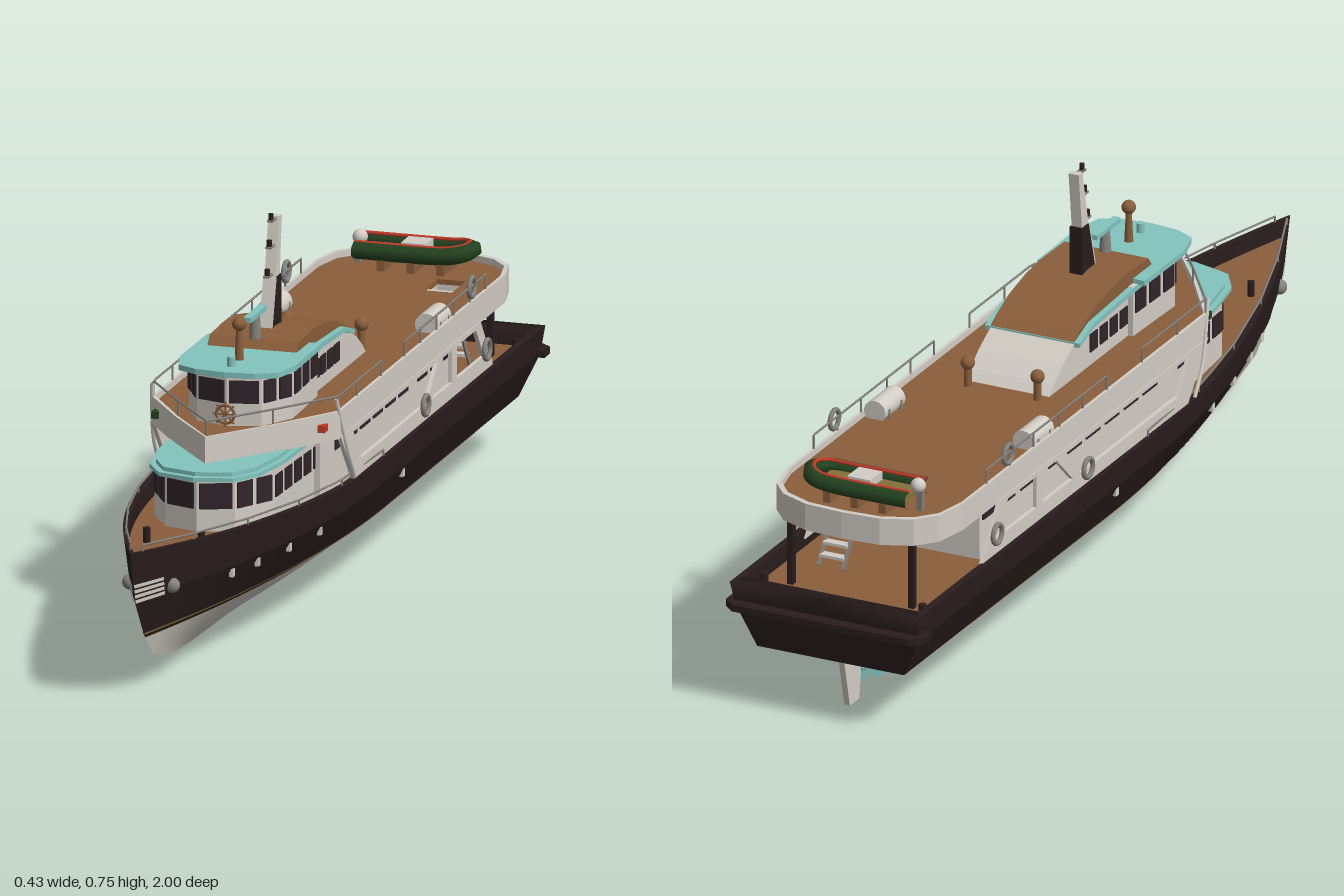
import * as THREE from 'three';

const mat = (name, color, double) => {
  const m = new THREE.MeshStandardMaterial({ color });
  m.name = name;
  if (double) m.side = THREE.DoubleSide;
  return m;
};

export function createModel() {
  const root = new THREE.Group();
  const dark = mat('dark hull paint', 0x2a1d1d, true), white = mat('off white paint', 0xd2cdc5, true);
  const brown = mat('wood deck', 0x8a5e3b, true), teal = mat('teal roof', 0x82c4be);
  const glass = mat('dark glass', 0x30252a), steel = mat('grey steel', 0x85817c);
  const gold = mat('ochre waterline', 0x86703a, true), green = mat('green rubber', 0x23421f), red = mat('red', 0xc23a28);

  const add = (name, geo, m, x = 0, y = 0, z = 0) => {
    const mesh = new THREE.Mesh(geo, m);
    mesh.name = name;
    mesh.position.set(x, y, z);
    root.add(mesh);
    return mesh;
  };
  const box = (name, m, w, h, d, x, y, z) => add(name, new THREE.BoxGeometry(w, h, d), m, x, y, z);
  const cyl = (name, m, r0, r1, h, x, y, z, n = 14) => add(name, new THREE.CylinderGeometry(r0, r1, h, n), m, x, y, z);
  const ball = (name, m, r, x, y, z) => add(name, new THREE.SphereGeometry(r, 16, 12), m, x, y, z);
  const tube = (name, m, pts, r, tension = 0.5, n = 60) => add(name, new THREE.TubeGeometry(
    new THREE.CatmullRomCurve3(pts.map(p => new THREE.Vector3(...p)), false, 'catmullrom', tension), n, r, 6), m);

  // Half outline [x, z] mirrored into a plan shape, extruded upwards
  const plan = half => new THREE.Shape([...half, ...half.filter(p => p[0] > 0).reverse().map(([x, z]) => [-x, z])]
    .map(([x, z]) => new THREE.Vector2(x, -z)));
  const slab = (name, m, shape, y0, y1) => add(name, new THREE.ExtrudeGeometry(shape, { depth: y1 - y0, bevelEnabled: false })
    .rotateX(-Math.PI / 2), m, 0, y0, 0);
  // Side profile of [z, y] extruded across x, from x - w to x
  const poly = pts => pts.map(p => new THREE.Vector2(...p));
  const profile = (name, m, pts, w, x, holes = []) => {
    const s = new THREE.Shape(poly(pts));
    s.holes = holes.map(h => new THREE.Path(poly(h)));
    return add(name, new THREE.ExtrudeGeometry(s, { depth: w, bevelEnabled: false }).rotateY(-Math.PI / 2), m, x);
  };
  // Panes along a wall segment, on both sides
  const panes = (name, [x0, z0], [x1, z1], n, y0, y1, gap = 0.008) => {
    const len = Math.hypot(x1 - x0, z1 - z0);
    for (const s of [1, -1]) for (let i = 0; i < n; i++) {
      const t = (i + 0.5) / n;
      box(name, glass, len / n - gap, y1 - y0, 0.006, s * (x0 + (x1 - x0) * t), (y0 + y1) / 2, z0 + (z1 - z0) * t)
        .rotation.y = Math.atan2(-(z1 - z0), s * (x1 - x0));
    }
  };

  // Hull: each level runs from stern to its own point on the stem
  const level = (zs, zb, W, z0, p, yf) => u => {
    const z = zs + (zb - zs) * u, s = Math.max(0, (z - z0) / (zb - z0));
    return [W * (1 - s ** p), yf(z), z];
  };
  // Underwater levels also close in towards the stern
  const taper = f => u => {
    const [x, y, z] = f(u);
    return [x * (1 - THREE.MathUtils.clamp((-z - 0.25) / 0.65, 0, 1) ** 2.6), y, z];
  };
  const rise = y => z => y + (0.12 - y) * THREE.MathUtils.smoothstep(-z, 0.55, 0.93);
  const sheerY = z => 0.257 + 0.046 * Math.max(0, (z - 0.2) / 0.8) ** 1.3;
  const keel = level(-0.95, 0.74, 0.0, 0, 2, z => rise(0.02)(z) + 0.015 * Math.max(0, z / 0.74) ** 2);
  const bilge = taper(level(-0.95, 0.85, 0.09, -0.2, 1.8, rise(0.066)));
  const paint = taper(level(-0.95, 0.9, 0.146, -0.1, 1.9, rise(0.112)));
  const water = level(-0.955, 0.91, 0.158, -0.1, 1.9, () => 0.12);
  const knuckle = level(-0.97, 0.97, 0.197, 0, 2.1, () => 0.205);
  const sheer = level(-0.985, 0.995, 0.202, 0, 2.2, sheerY);
  const capIn = level(-0.95, 0.975, 0.187, 0, 2.2, sheerY);
  const deckEdge = level(-0.95, 0.975, 0.187, 0, 2.2, z => sheerY(z) - 0.035);
  const middle = f => u => [0, f(u)[1], f(u)[2]];
  const mix = (a, b, v, out = 0) => u => a(u).map((c, i) => c + (b(u)[i] - c) * v + (i ? 0 : out));
  const loft = (name, m, levels, u0 = 0, u1 = 1, n = 48) => {
    for (const s of [1, -1]) {
      const pos = [], idx = [], k = levels.length;
      for (let i = 0; i <= n; i++) for (const f of levels) {
        const [x, y, z] = f(u0 + (u1 - u0) * i / n);
        pos.push(s * x, y, z);
      }
      for (let i = 0; i < n; i++) for (let j = 0; j < k - 1; j++) {
        const a = i * k + j, b = a + 1, c = a + k, d = c + 1;
        idx.push(...(s > 0 ? [a, b, c, b, d, c] : [a, c, b, b, c, d]));
      }
      const g = new THREE.BufferGeometry();
      g.setAttribute('position', new THREE.Float32BufferAttribute(pos, 3));
      g.setIndex(idx);
      g.computeVertexNormals();
      add(name, g, m);
    }
  };
  const paintTop = mix(paint, water, 0.14);
  loft('hullBottom', white, [keel, bilge, paint], 0.03);
  loft('waterlineStripe', gold, [paint, paintTop], 0.03);
  loft('hullCounter', dark, [paintTop, water], 0.03);
  loft('sternCounter', dark, [keel, water], 0, 0.03, 2);
  loft('chineStripe', gold, [mix(water, knuckle, 0, 0.001), mix(water, knuckle, 0.05, 0.0015)], 0.15);
  loft('hullSide', dark, [water, knuckle]);
  loft('hullTopside', dark, [knuckle, sheer]);
  loft('bulwarkCap', dark, [sheer, capIn]);
  loft('bulwarkInside', dark, [capIn, deckEdge]);
  loft('mainDeck', brown, [deckEdge, middle(deckEdge)]);
  const across = f => u => [f(0)[0] * u, f(0)[1], f(0)[2]];
  loft('transom', dark, [water, knuckle, sheer, capIn, deckEdge].map(across), 0, 1, 2);
  slab('sternFender', dark, plan([[0.19, -1], [0.213, -0.98], [0.213, -0.945]]), 0.203, 0.217);
  for (const v of [-0.08, 0.03, 0.14, 0.25])
    loft('bowStripe', white, [mix(knuckle, sheer, v, 0.002), mix(knuckle, sheer, v + 0.075, 0.002)], 0.958, 1, 6);
  for (const s of [1, -1]) {
    for (const z of [0.67, 0.58, 0.46, 0.33, -0.12]) {
      const p = mix(water, knuckle, 0.82)((z + 0.965) / 1.935);
      box('porthole', white, 0.008, 0.016, 0.012, s * p[0], p[1], z);
    }
    const a = mix(knuckle, sheer, 0.06)(0.945);
    ball('anchor', steel, 0.015, s * a[0], a[1], a[2]);
    cyl('bowBollard', dark, 0.007, 0.007, 0.03, s * 0.055, 0.265, 0.72);
    cyl('sternBollard', dark, 0.008, 0.008, 0.03, s * 0.17, 0.235, -0.9);
  }

  // Skeg, rudder and propeller
  profile('skeg', white, [[-0.2, 0.03], [-0.66, 0.018], [-0.71, 0.03], [-0.66, 0.09], [-0.3, 0.08]], 0.024, 0.012);
  profile('rudder', white, [[-0.83, 0.115], [-0.845, 0.0], [-0.885, 0.0], [-0.915, 0.125]], 0.012, 0.006);
  cyl('propellerShaft', steel, 0.008, 0.008, 0.13, 0, 0.055, -0.74).rotation.x = Math.PI / 2;
  cyl('propellerHub', teal, 0.006, 0.011, 0.035, 0, 0.055, -0.81).rotation.x = -Math.PI / 2;
  for (let i = 0; i < 4; i++) {
    const a = i * Math.PI / 2 + 0.4;
    const blade = box('propellerBlade', teal, 0.022, 0.032, 0.004, -Math.sin(a) * 0.02, 0.055 + Math.cos(a) * 0.02, -0.805);
    blade.rotation.set(0, 0.5, a);
  }

  // Lower deckhouse with its faceted front and stepped teal roof
  slab('mainHouse', white, plan([[0.14, -0.6], [0.14, 0.24]]), 0.215, 0.365);
  panes('mainHouseWindow', [0.14, 0.16], [0.14, -0.32], 6, 0.3, 0.35, 0.022);
  panes('aftHouseWindow', [0.14, -0.36], [0.14, -0.6], 3, 0.3, 0.35, 0.024);
  const front = [[0.13, 0.2], [0.12, 0.47], [0.07, 0.555], [0, 0.58]];
  slab('frontHouse', white, plan(front), 0.22, 0.348);
  panes('frontHouseWindow', front[0], front[1], 5, 0.287, 0.33, 0.016);
  panes('frontHouseWindow', front[1], front[2], 2, 0.284, 0.335, 0.011);
  panes('frontHouseWindow', front[2], front[3], 1, 0.284, 0.335, 0.011);
  const eaves = [[0.132, 0.2], [0.127, 0.43], [0.11, 0.53], [0.075, 0.583], [0, 0.602]];
  slab('frontHouseRoof', teal, plan(eaves), 0.344, 0.352);
  slab('frontHouseRoofCrown', teal, plan(eaves.map(([x, z]) => [x * 0.92, z * 0.98])), 0.352, 0.36);

  // Upper deck with a pointed front and rounded stern
  const rim = [[0, -0.91], [0.08, -0.905], [0.14, -0.88], [0.175, -0.84], [0.19, -0.77], [0.19, 0.27], [0.1, 0.4], [0, 0.525]];
  const inner = rim.map(([x, z]) => [x * 0.965, z * 0.988]);
  const ring = plan(rim), floor = plan(inner);
  ring.holes = [plan(inner)];
  floor.holes = [new THREE.Path(poly([[0.062, 0.66], [0.118, 0.66], [0.118, 0.745], [0.062, 0.745]]))];
  slab('upperBulwark', white, ring, 0.358, 0.413);
  slab('upperDeckUnderside', white, floor, 0.362, 0.39);
  slab('upperDeck', brown, floor, 0.39, 0.4);
  for (let i = 0; i < 8; i++) box('stairTread', white, 0.052, 0.006, 0.018, 0.09, 0.395 - i * 0.021, -0.668 - i * 0.014);
  for (const s of [1, -1]) box('stairStringer', steel, 0.004, 0.012, 0.2, 0.09 + s * 0.026, 0.31, -0.72).rotation.x = -0.96;

  // Side screens with three slanted openings
  const holes = [
    [[0.19, 0.352], [0.14, 0.287], [-0.27, 0.287], [-0.34, 0.352]],
    [[-0.375, 0.352], [-0.305, 0.287], [-0.43, 0.287], [-0.43, 0.352]],
    [[-0.46, 0.352], [-0.46, 0.287], [-0.63, 0.287], [-0.58, 0.352]]];
  for (const s of [1, -1]) {
    profile('sideScreen', white, [[0.27, 0.362], [0.17, 0.24], [-0.7, 0.24], [-0.61, 0.362]], 0.008, s > 0 ? 0.192 : -0.184, holes);
    tube('forwardStay', white, [[s * 0.198, 0.265, 0.2], [s * 0.196, 0.33, 0.24], [s * 0.186, 0.44, 0.28]], 0.004);
    box('sternPost', dark, 0.012, 0.15, 0.014, s * 0.13, 0.29, -0.865);
    for (const [x, y, z] of [[0.197, 0.29, -0.25], [0.197, 0.3, -0.635], [0.187, 0.44, -0.57]])
      add('lifebuoy', new THREE.TorusGeometry(0.019, 0.005, 8, 20), steel, s * x, y, z).rotation.y = Math.PI / 2;
    // Raft canisters, vents and running lights
    cyl('raftCanister', white, 0.023, 0.023, 0.085, s * 0.16, 0.415, -0.41, 18).rotation.x = Math.PI / 2;
    for (const d of [-0.025, 0.025]) box('raftCradle', steel, 0.048, 0.02, 0.006, s * 0.16, 0.409, -0.41 + d);
    cyl('ventPipe', brown, 0.008, 0.008, 0.05, s * 0.075, 0.42, -0.225);
    ball('ventHead', brown, 0.014, s * 0.075, 0.448, -0.225);
    box('runningLight', s > 0 ? red : green, 0.014, 0.014, 0.022, s * 0.168, 0.388, 0.308);

    // Guard rails
    const rail = (pts, h, name) => {
      tube(name, steel, pts, 0.0022, 0.01, 40);
      for (const [x, y, z] of pts) cyl('railPost', steel, 0.002, 0.002, h, x, y - h / 2, z, 6);
    };
    rail([[0, 0.442, 0.515], [s * 0.095, 0.442, 0.395], [s * 0.186, 0.442, 0.268], [s * 0.186, 0.442, 0.15], [s * 0.186, 0.442, 0]], 0.035, 'forwardRail');
    rail([-0.15, -0.25, -0.35, -0.46, -0.56, -0.66].map(z => [s * 0.186, 0.442, z]), 0.035, 'sideRail');
    rail([0.5, 0.62, 0.72, 0.82, 0.91, 0.985].map(u => {
      const p = mix(sheer, capIn, 0.5)(u);
      return [s * p[0], p[1] + 0.012, p[2]];
    }), 0.016, 'bowRail');
  }

  // Bridge and the cabin behind it
  const bridge = [[0.1, 0.13], [0.105, 0.3], [0.065, 0.372], [0, 0.39]];
  slab('bridge', white, plan(bridge), 0.4, 0.502);
  panes('bridgeWindow', bridge[0], bridge[1], 3, 0.446, 0.49, 0.016);
  panes('bridgeWindow', bridge[1], bridge[2], 2, 0.445, 0.49, 0.01);
  panes('bridgeWindow', bridge[2], bridge[3], 1, 0.445, 0.49, 0.01);
  slab('bridgeRoof', teal, plan([[0.115, 0.15], [0.116, 0.32], [0.1, 0.38], [0.06, 0.4], [0, 0.407]]), 0.5, 0.511);
  profile('cabin', white, [[0.18, 0.395], [0.18, 0.495], [-0.05, 0.488], [-0.1, 0.47], [-0.15, 0.443], [-0.185, 0.418], [-0.21, 0.395]], 0.18, 0.09);
  panes('cabinWindow', [0.09, 0.13], [0.09, -0.04], 4, 0.428, 0.465, 0.012);
  profile('cabinRoofTrim', teal, [[0.17, 0.492], [0.17, 0.503], [-0.04, 0.493], [-0.1, 0.473], [-0.1, 0.464], [-0.04, 0.483]], 0.204, 0.102);
  profile('cabinRoof', brown, [[0.235, 0.505], [0.215, 0.529], [0.12, 0.531], [0.05, 0.525], [-0.02, 0.51], [-0.07, 0.49], [-0.1, 0.474], [-0.04, 0.485], [0.16, 0.495]], 0.18, 0.09);
  // Ornamental wheel on the bridge front
  add('wheelRim', new THREE.TorusGeometry(0.018, 0.003, 8, 20), brown, 0, 0.425, 0.398);
  for (let i = 0; i < 4; i++) box('wheelSpoke', brown, 0.05, 0.003, 0.003, 0, 0.425, 0.398).rotation.z = i * Math.PI / 4;

  // Raked mast with a pale front, radar and searchlight
  profile('mastBase', dark, [[0.142, 0.525], [0.115, 0.625], [0.085, 0.625], [0.085, 0.525]], 0.026, 0.013);
  profile('mastFront', white, [[0.146, 0.525], [0.119, 0.625], [0.115, 0.625], [0.142, 0.525]], 0.026, 0.013);
  profile('mast', white, [[0.118, 0.62], [0.092, 0.74], [0.076, 0.74], [0.09, 0.62]], 0.022, 0.011);
  for (const [y, z] of [[0.63, 0.118], [0.685, 0.106], [0.735, 0.095]]) {
    box('mastBracket', steel, 0.012, 0.004, 0.03, 0, y, z + 0.008);
    cyl('mastLight', dark, 0.005, 0.005, 0.013, 0, y + 0.008, z + 0.016, 10);
  }
  cyl('radarPost', steel, 0.009, 0.012, 0.045, 0, 0.55, 0.21);
  box('radarScanner', teal, 0.016, 0.01, 0.1, 0, 0.576, 0.21);
  cyl('searchlightPost', brown, 0.006, 0.009, 0.06, 0, 0.54, 0.31);
  ball('searchlight', brown, 0.014, 0, 0.582, 0.31);
  cyl('horn', teal, 0.008, 0.008, 0.02, 0, 0.52, 0.36);

  // Inflatable boat lying athwartships on chocks
  const loop = (y, e) => [[-0.115, y, -0.81 - 0.042 - e], [0.04, y, -0.81 - 0.042 - e], [0.09, y + 0.004, -0.81 - 0.034 - e],
    [0.112 + e, y + 0.008, -0.81], [0.09, y + 0.004, -0.776 + e], [0.04, y, -0.768 + e], [-0.115, y, -0.768 + e]];
  tube('boatTube', green, loop(0.437, 0), 0.017);
  tube('boatRope', red, loop(0.452, -0.006), 0.004);
  box('boatFloor', gold, 0.19, 0.012, 0.075, -0.01, 0.432, -0.81);
  box('boatSeat', white, 0.05, 0.02, 0.05, 0, 0.445, -0.81);
  ball('outboardMotor', white, 0.015, -0.115, 0.453, -0.81);
  box('outboardLeg', steel, 0.012, 0.045, 0.012, -0.12, 0.425, -0.81);
  for (const x of [-0.06, 0.0, 0.06]) box('boatChock', brown, 0.015, 0.028, 0.09, x, 0.412, -0.81);

  return root;
}
